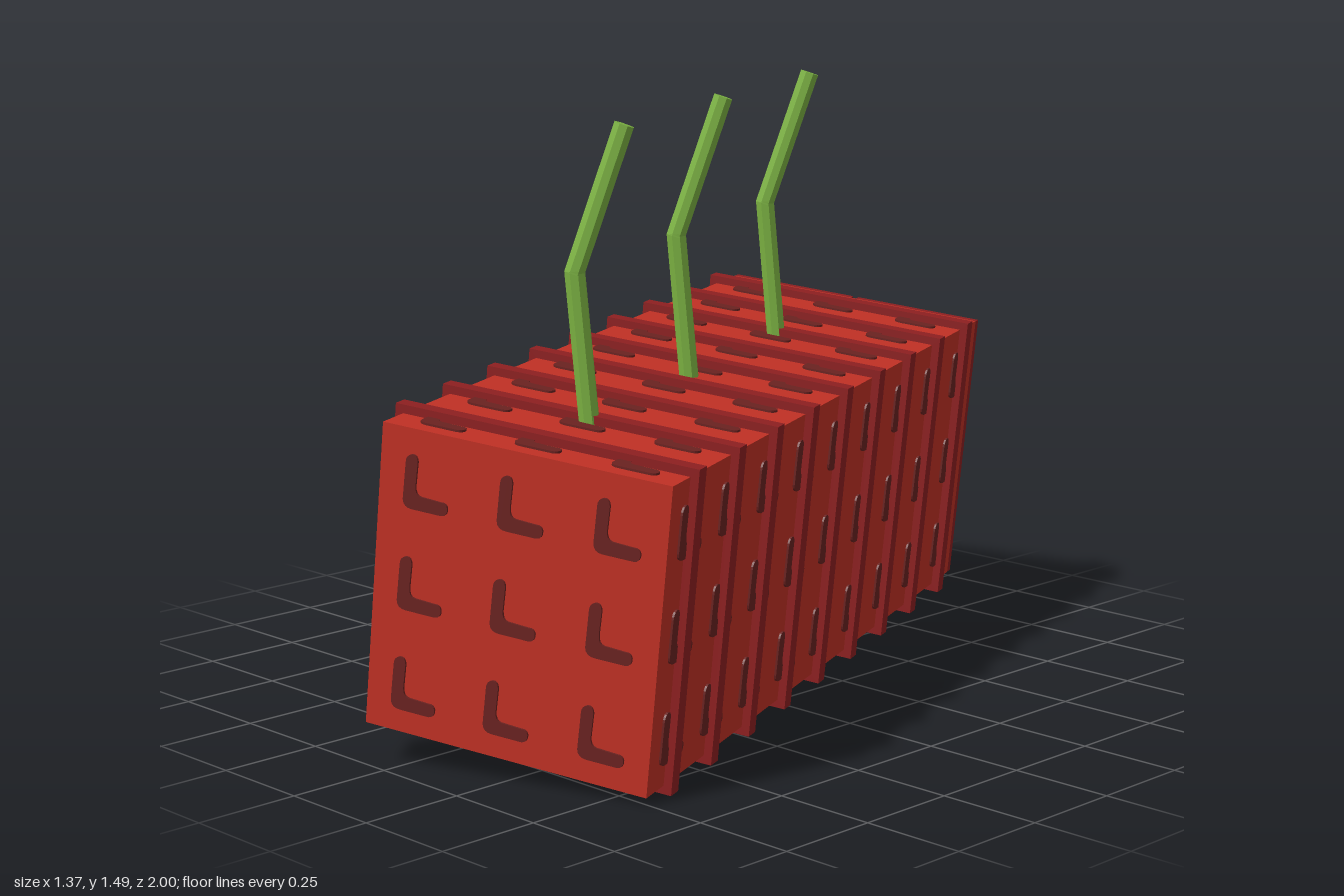
import * as THREE from 'three';

const SIZE = 0.705;      // container width and height
const LENGTH = 1.85;
const BAYS = 9;
const BAY = LENGTH / BAYS;

const mat = (name, color, flatShading = false) => {
  const m = new THREE.MeshStandardMaterial({ color, flatShading });
  m.name = name;
  return m;
};

export function createModel() {
  const red = mat('container red', 0xc03024);
  const darkRed = mat('rib dark red', 0x8e1f20);
  const maroon = mat('mark maroon', 0x6a2220);
  const green = mat('stem green', 0x7cb342);
  const white = mat('ball white', 0xeeeeee);

  const model = new THREE.Group();
  model.name = 'container';

  // Tilted container frame: x across, y up, z along the length
  const body = new THREE.Group();
  body.name = 'tiltedContainer';
  const along = new THREE.Vector3(0.337, -0.043, 0.941).normalize();
  const across = new THREE.Vector3(0.934, -0.113, -0.34);
  across.addScaledVector(along, -across.dot(along)).normalize();
  const up = new THREE.Vector3().crossVectors(along, across);
  body.quaternion.setFromRotationMatrix(new THREE.Matrix4().makeBasis(across, up, along));
  body.position.set(-0.004, 0.455, 0.009);
  model.add(body);

  const add = (name, geometry, material, x = 0, y = 0, z = 0, parent = body) => {
    const mesh = new THREE.Mesh(geometry, material);
    mesh.name = name;
    mesh.position.set(x, y, z);
    parent.add(mesh);
    return mesh;
  };

  add('hull', new THREE.BoxGeometry(SIZE, SIZE, LENGTH), red);

  // Ribs: square hoops round the hull
  const h = SIZE / 2;
  const outer = h + 0.02;
  const hoop = new THREE.Shape([[-outer, -outer], [outer, -outer], [outer, outer], [-outer, outer]]
    .map(([x, y]) => new THREE.Vector2(x, y)));
  hoop.holes.push(new THREE.Path([[-h, -h], [-h, h], [h, h], [h, -h]]
    .map(([x, y]) => new THREE.Vector2(x, y))));
  const ribGeometry = new THREE.ExtrudeGeometry(hoop, { depth: 0.036, bevelEnabled: false });
  ribGeometry.translate(0, 0, -0.018);
  const bayZ = i => LENGTH / 2 - BAY * (i + 0.5);
  for (let i = 0; i < BAYS; i++) add('rib', ribGeometry, darkRed, 0, 0, bayZ(i));

  // Pair of rear doors
  const doorGeometry = new THREE.BoxGeometry(h - 0.008, SIZE, 0.02);
  for (const side of [-1, 1]) {
    add('door', doorGeometry, darkRed, side * (h / 2 + 0.004), 0, -LENGTH / 2 - 0.01);
  }

  // L-shaped marks with rounded ends
  const ell = new THREE.Shape();
  ell.moveTo(-0.054, -0.045);
  ell.quadraticCurveTo(-0.052, -0.064, -0.03, -0.064);
  ell.lineTo(0.044, -0.064);
  ell.quadraticCurveTo(0.06, -0.062, 0.058, -0.044);
  ell.quadraticCurveTo(0.055, -0.032, 0.04, -0.034);
  ell.lineTo(-0.01, -0.032);
  ell.quadraticCurveTo(-0.024, -0.03, -0.024, -0.01);
  ell.lineTo(-0.022, 0.045);
  ell.quadraticCurveTo(-0.024, 0.062, -0.038, 0.06);
  ell.quadraticCurveTo(-0.052, 0.056, -0.052, 0.04);
  const markGeometry = new THREE.ExtrudeGeometry(ell, { depth: 0.005, bevelEnabled: false, curveSegments: 4 });
  const steps = [-1, 0, 1].map(k => k * SIZE / 3);
  for (const a of steps) {
    for (const b of steps) add('frontMark', markGeometry, maroon, a, b, LENGTH / 2);
    for (let i = 0; i < BAYS; i++) {
      add('sideMark', markGeometry, maroon, h, a, bayZ(i)).rotation.y = Math.PI / 2;
      add('topMark', markGeometry, maroon, a, h, bayZ(i)).rotation.x = -Math.PI / 2;
      add('bottomMark', markGeometry, maroon, a, -h, bayZ(i)).rotation.x = Math.PI / 2;
    }
  }

  // Balls between the ribs on one side, in a repeating staircase
  const ballGeometry = new THREE.SphereGeometry(0.05, 14, 10);
  for (let i = 0; i < 7; i++) {
    add('ball', ballGeometry, white, -0.347, -0.258 + 0.06 * (i % 3), LENGTH / 2 - BAY * (i + 1));
  }

  // Bent stems rising from the roof
  const points = [[0, 0.342, 0], [-0.062, 0.688, 0.008], [-0.002, 1.015, -0.056]]
    .map(p => new THREE.Vector3(...p));
  const stemGreen = green;
  stemGreen.flatShading = true;
  const yAxis = new THREE.Vector3(0, 1, 0);
  for (const z of [0.622, 0.106, -0.41]) {
    const stem = new THREE.Group();
    stem.name = 'stem';
    stem.position.z = z;
    body.add(stem);
    for (let i = 0; i < 2; i++) {
      const dir = points[i + 1].clone().sub(points[i]);
      const mid = points[i].clone().addScaledVector(dir, 0.5);
      const part = add(i ? 'stemTop' : 'stemBase',
        new THREE.CylinderGeometry(0.024, 0.024, dir.length() + 0.008, 8), stemGreen, mid.x, mid.y, mid.z, stem);
      part.quaternion.setFromUnitVectors(yAxis, dir.normalize());
    }
  }
  return model;
}
